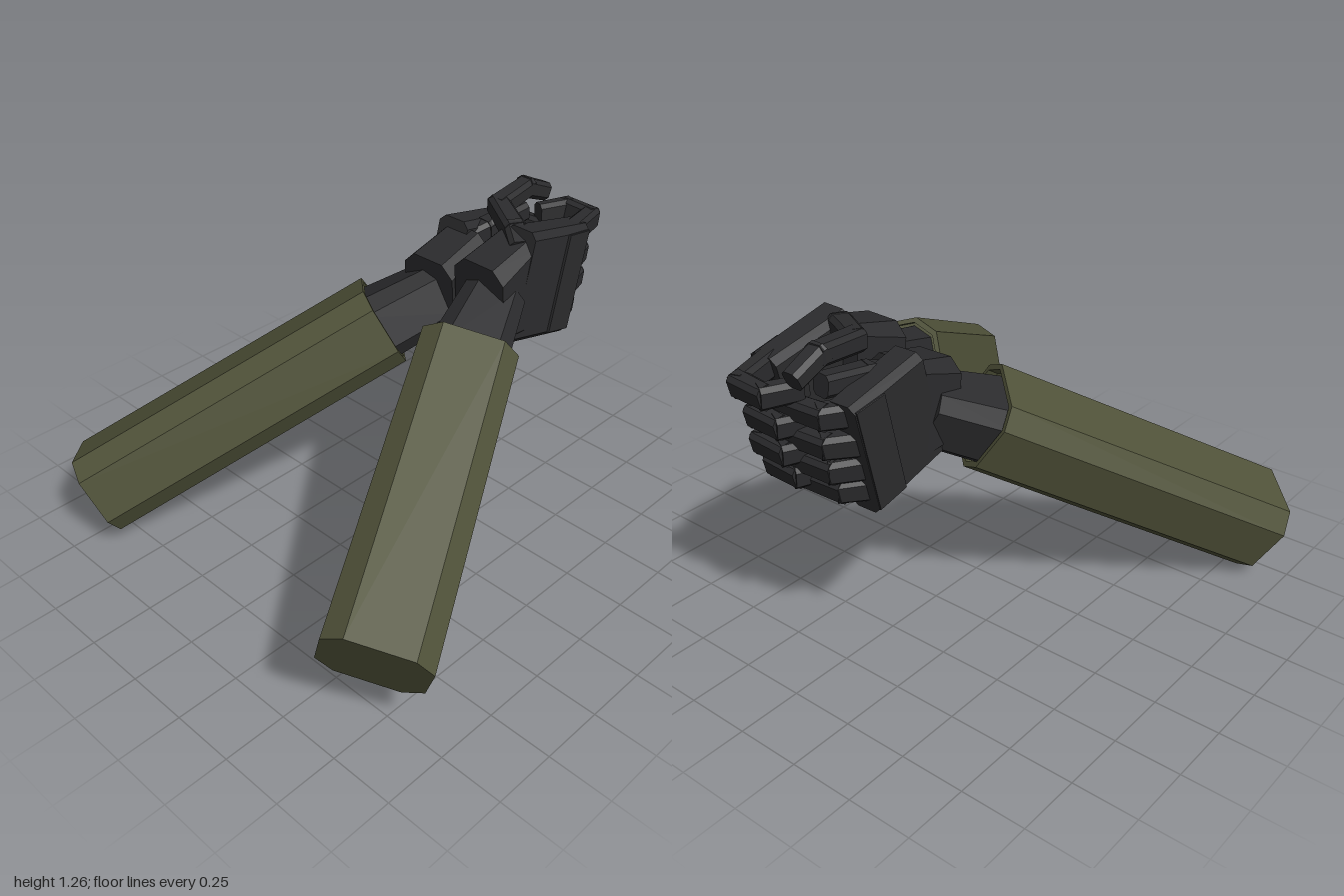
import * as THREE from 'three';

const V = (x, y, z) => new THREE.Vector3(x, y, z);
const olive = new THREE.MeshStandardMaterial({ color: 0x505239 });
olive.name = 'oliveSleeve';
const black = new THREE.MeshStandardMaterial({ color: 0x2b2b2d });
black.name = 'blackGlove';
olive.flatShading = black.flatShading = true;

// Closed loft of chamfered rectangles; each section is [centre, halfSide, halfUp, chamfer]
function loft(name, material, sections, upHint) {
  const d = sections[1][0].clone().sub(sections[0][0]).normalize();
  const u = upHint.clone().addScaledVector(d, -upHint.dot(d)).normalize();
  const s = u.clone().cross(d);
  const rings = sections.map(([p, a, b, c]) =>
    [[a, c - b], [a, b - c], [a - c, b], [c - a, b], [-a, b - c], [-a, c - b], [c - a, -b], [a - c, -b]]
      .map(([i, j]) => p.clone().addScaledVector(s, i).addScaledVector(u, j)));
  const pos = [];
  const tri = (...pts) => pts.forEach((p) => pos.push(p.x, p.y, p.z));
  for (let k = 0; k + 1 < rings.length; k++) {
    for (let i = 0; i < 8; i++) {
      const j = (i + 1) % 8, A = rings[k], B = rings[k + 1];
      tri(A[i], A[j], B[j]);
      tri(A[i], B[j], B[i]);
    }
  }
  const first = rings[0], last = rings[rings.length - 1];
  for (let i = 1; i < 7; i++) {
    tri(first[0], first[i + 1], first[i]);
    tri(last[0], last[i], last[i + 1]);
  }
  const g = new THREE.BufferGeometry();
  g.setAttribute('position', new THREE.Float32BufferAttribute(pos, 3));
  g.computeVertexNormals();
  const mesh = new THREE.Mesh(g, material);
  mesh.name = name;
  return mesh;
}

// Jointed digit: one tapered bar per bone, overlapping at the joints
function digit(name, points, up, side, height) {
  const group = new THREE.Group();
  group.name = name;
  for (let i = 0; i + 1 < points.length; i++) {
    const d = points[i + 1].clone().sub(points[i]).normalize();
    const a = points[i].clone().addScaledVector(d, -0.018);
    const b = points[i + 1].clone().addScaledVector(d, 0.018);
    const k = 1 - i * 0.05;
    group.add(loft(name + 'Bone', black,
      [[a, side * k, height * k, 0.016], [b, side * k * 0.92, height * k * 0.94, 0.016]], up));
  }
  return group;
}

function sleeveAndWrist(elbow, cuff, wristEnd, up) {
  const group = new THREE.Group();
  group.name = 'forearm';
  const d = cuff.clone().sub(elbow).normalize();
  const inner = cuff.clone().addScaledVector(d, -0.04);
  // sleeve with a hollow rim at the hand end
  group.add(loft('sleeve', olive, [
    [elbow, 0.188, 0.167, 0.07], [cuff, 0.18, 0.16, 0.066],
    [cuff, 0.162, 0.143, 0.06], [inner, 0.162, 0.143, 0.06]], up));
  group.add(loft('wrist', black, [
    [inner.clone().addScaledVector(d, -0.03), 0.15, 0.135, 0.055],
    [wristEnd, 0.115, 0.12, 0.045]], up));
  return group;
}

// m = 1 for the left hand, -1 for the right; dy shifts the hand vertically
function hand(name, m, dy, fingers) {
  const group = new THREE.Group();
  group.name = name;
  const P = (x, y, z) => V(0.085 + m * x, y + dy, z);
  const up = V(0, 0.97, -0.24);
  // heel of the glove, palm and the plate on the back of the hand
  group.add(loft('gloveHeel', black, [
    [P(0.125, 0.98, -0.29), 0.12, 0.165, 0.05],
    [P(0.13, 1.0, -0.51), 0.1, 0.2, 0.035]], up));
  group.add(loft('palm', black, [
    [P(0.165, 1.02, -0.42), 0.07, 0.22, 0.025],
    [P(0.175, 0.94, -0.75), 0.064, 0.225, 0.025]], up));
  group.add(loft('knucklePlate', black, [
    [P(0.243, 0.972, -0.62), 0.005, 0.2, 0.002],
    [P(0.238, 0.943, -0.745), 0.005, 0.205, 0.002]], up));
  fingers.forEach((points, i) =>
    group.add(digit('finger' + (i + 1), points.map((p) => P(...p)), up, 0.038, 0.048)));
  return group;
}

export function createModel() {
  const root = new THREE.Group();
  root.name = 'glovedArms';

  root.add(sleeveAndWrist(V(0.805, 0.375, 0.87), V(0.3, 0.87, -0.12), V(0.215, 0.96, -0.36), V(0.065, 0.145, 0.035)));
  root.add(sleeveAndWrist(V(-0.805, 0.177, 0.805), V(-0.157, 0.815, -0.157), V(-0.05, 0.9, -0.36), V(-0.085, 0.14, 0.034)));

  // left fingers wrap outside, right fingers curl inside: [knuckle y, knuckle z, reach z]
  const outer = [[1.12, -0.77, -0.94], [0.99, -0.75, -0.885], [0.885, -0.72, -0.87], [0.78, -0.69, -0.82]]
    .map(([y, z, r]) => [[0.18, y, z], [0.14, y - 0.01, r + 0.01], [0.02, y - 0.01, r], [-0.025, y - 0.01, r + 0.1]]);
  const inner = [[1.11, -0.75, -0.84], [1.0, -0.75, -0.83], [0.9, -0.72, -0.81], [0.81, -0.69, -0.77]]
    .map(([y, z, r]) => [[0.175, y, z], [0.125, y, r + 0.01], [-0.04, y, r], [-0.075, y, r + 0.1]]);
  const left = hand('leftHand', 1, 0, outer);
  const right = hand('rightHand', -1, -0.07, inner);

  // left thumb crosses over the top, right thumb lies beneath it
  left.add(digit('thumb', [V(0.24, 1.16, -0.47), V(0.18, 1.19, -0.51), V(0.03, 1.21, -0.6),
    V(0.015, 1.225, -0.78), V(0.015, 1.18, -0.88)], V(0, 1, 0), 0.046, 0.046));
  right.add(digit('thumb', [V(-0.07, 1.06, -0.47), V(-0.02, 1.1, -0.6), V(0.0, 1.12, -0.77)],
    V(0, 1, 0), 0.045, 0.045));
  root.add(left, right);
  return root;
}
